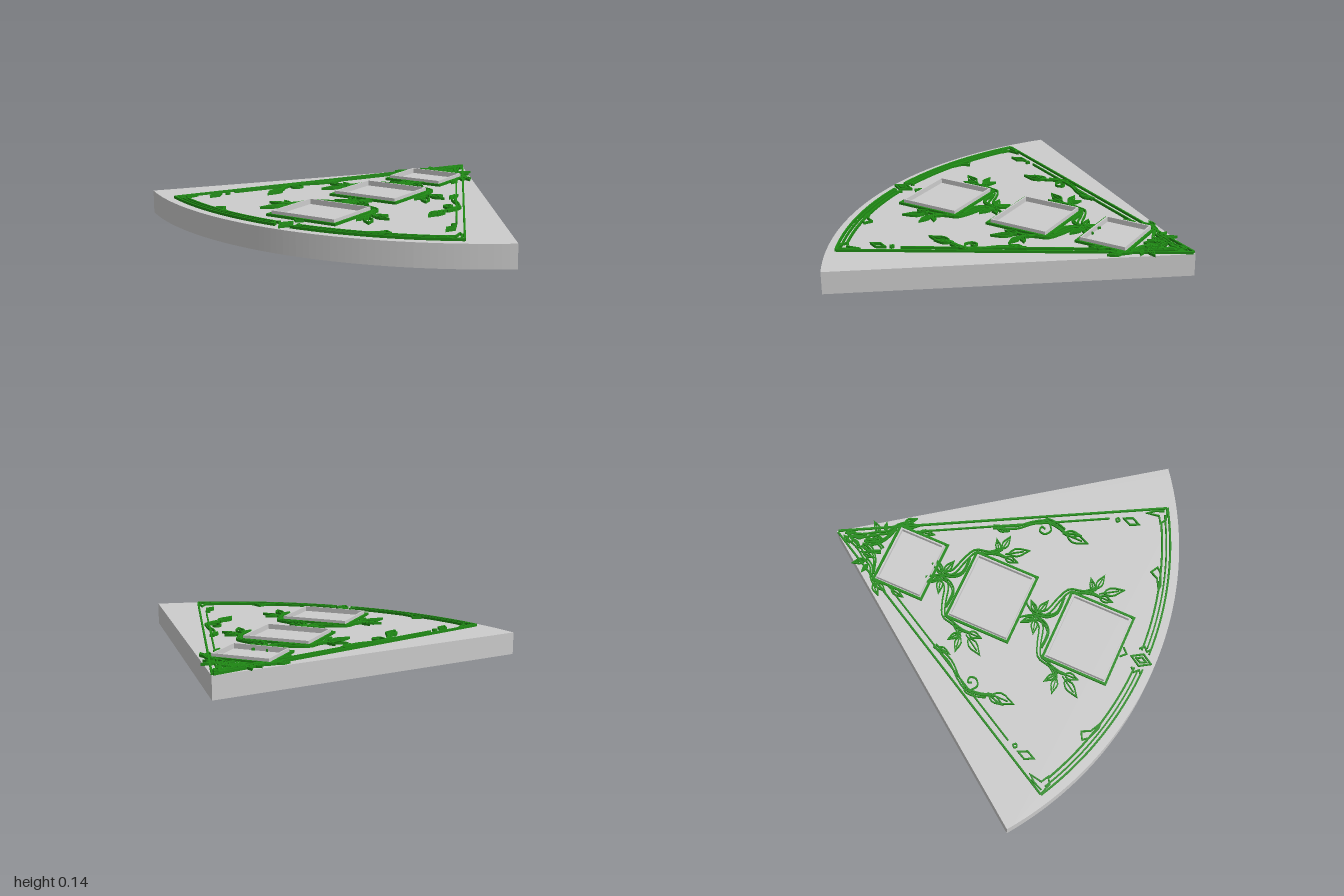
import * as THREE from 'three';
import { mergeGeometries } from 'three/addons/utils/BufferGeometryUtils.js';

const TOP = 0.11;         // upper face of the slab
const APEX = -0.85;       // z of the wedge point
const RADIUS = 1.7;
const HALF = Math.atan2(1, 1.375);

const grey = new THREE.MeshStandardMaterial({ color: 0xcccccc, side: THREE.DoubleSide });
const green = new THREE.MeshStandardMaterial({ color: 0x1f8a14, side: THREE.DoubleSide });

const V = (x, z) => new THREE.Vector2(x, z);
const toPoints = (list) => list.map(([x, z]) => V(x, z));
const mirror = (pts) => pts.map((p) => V(-p.x, p.y));
const smooth = (list, n = 20) => new THREE.SplineCurve(toPoints(list)).getPoints(n);
const polar = (r, a) => V(r * Math.sin(a), APEX + r * Math.cos(a));
const arc = (r, a0, a1, n = 24) =>
  Array.from({ length: n + 1 }, (_, i) => polar(r, a0 + ((a1 - a0) * i) / n));

// Mitred normals of a path in plan
function normals(pts, closed) {
  const n = pts.length;
  return pts.map((p, i) => {
    const prev = closed ? pts[(i + n - 1) % n] : pts[Math.max(i - 1, 0)];
    const next = closed ? pts[(i + 1) % n] : pts[Math.min(i + 1, n - 1)];
    const a = p.clone().sub(prev).normalize();
    const b = next.clone().sub(p).normalize();
    const d = a.clone().add(b).normalize();
    const cos = Math.max(0.4, d.dot(b.lengthSq() ? b : a));
    return V(-d.y, d.x).divideScalar(cos);
  });
}

// Thin raised strip with a rectangular section swept along a path
function ribbon(pts, { closed = false, width = 0.007, top = 0.122 } = {}) {
  const nrm = normals(pts, closed);
  const pos = [], index = [];
  pts.forEach((p, i) => {
    for (const [s, y] of [[1, TOP], [1, top], [-1, top], [-1, TOP]]) {
      pos.push(p.x + (s * nrm[i].x * width) / 2, y, p.y + (s * nrm[i].y * width) / 2);
    }
  });
  const count = closed ? pts.length : pts.length - 1;
  for (let i = 0; i < count; i++) {
    const a = i * 4, b = ((i + 1) % pts.length) * 4;
    for (let k = 0; k < 3; k++) {
      index.push(a + k, b + k, a + k + 1, b + k, b + k + 1, a + k + 1);
    }
  }
  if (!closed) {
    const e = (pts.length - 1) * 4;
    index.push(0, 1, 2, 0, 2, 3, e, e + 2, e + 1, e, e + 3, e + 2);
  }
  const g = new THREE.BufferGeometry();
  g.setAttribute('position', new THREE.Float32BufferAttribute(pos, 3));
  g.setIndex(index);
  const flat = g.toNonIndexed();
  flat.computeVertexNormals();
  return flat;
}

// A path record: points plus ribbon options
const line = (pts, opt = {}) => ({ pts, opt });

// Stem drawn as two parallel edges that taper to the tip
function stem(list, w = 0.018) {
  const pts = smooth(list), nrm = normals(pts, false);
  return [1, -1].map((s) => line(pts.map((p, i) =>
    p.clone().addScaledVector(nrm[i], (s * w * (1 - (0.7 * i) / pts.length)) / 2))));
}

// Pointed leaf outline with a midrib, from base to tip
function leaf(x0, z0, x1, z1, w = 0.4) {
  const a = V(x0, z0), d = V(x1 - x0, z1 - z0), n = V(-d.y, d.x);
  const at = (t, s) => a.clone().addScaledVector(d, t).addScaledVector(n, s * w);
  const prof = [[0, 0], [0.15, 0.3], [0.35, 0.5], [0.55, 0.45], [0.8, 0.2], [1, 0]];
  const outline = [...prof.map(([t, s]) => at(t, s)),
    ...prof.slice(1, -1).reverse().map(([t, s]) => at(t, -s))];
  return [line(outline, { closed: true, width: 0.006 }),
    line([at(-0.2, 0), at(0.75, 0)], { width: 0.005 })];
}

const diamond = (x, z, w, h) =>
  line(toPoints([[x, z - h], [x + w, z], [x, z + h], [x - w, z]]), { closed: true });

const rect = (w, z0, z1) => toPoints([[-w, z0], [w, z0], [w, z1], [-w, z1]]);

export function createModel() {
  const group = new THREE.Group();
  const add = (name, geometry, material) => {
    const mesh = new THREE.Mesh(geometry, material);
    mesh.name = name;
    group.add(mesh);
  };
  const ornament = (name, paths, mirrored = true) => {
    const parts = paths.flat().flatMap(({ pts, opt }) =>
      (mirrored ? [pts, mirror(pts)] : [pts]).map((p) => ribbon(p, opt)));
    add(name, mergeGeometries(parts), green);
  };

  // Wedge slab
  const shape = new THREE.Shape();
  shape.moveTo(0, -APEX);
  arc(RADIUS, -HALF, HALF, 64).forEach((p) => shape.lineTo(p.x, -p.y));
  shape.closePath();
  const slab = new THREE.ExtrudeGeometry(shape, { depth: TOP, bevelEnabled: false });
  slab.rotateX(-Math.PI / 2);
  add('wedgeSlab', slab, grey);

  // Three raised grey rims, each inside a green outline
  [[0.143, -0.56, -0.325], [0.17, -0.155, 0.147], [0.17, 0.355, 0.657]].forEach(([w, z0, z1], i) => {
    add(`panelRim${i + 1}`,
      ribbon(rect(w - 0.004, z0 + 0.004, z1 - 0.004), { closed: true, width: 0.008, top: 0.135 }), grey);
    ornament(`panelOutline${i + 1}`,
      [line(rect(w + 0.012, z0 - 0.012, z1 + 0.012), { closed: true, width: 0.011 })], false);
  });

  // Border lines along the straight sides and the arc
  ornament('sideBorder', [
    line(toPoints([[0.004, -0.84], [0.79, 0.6]]), { width: 0.009 }),
    line(toPoints([[0.17, -0.465], [0.62, 0.36]])),
  ]);
  ornament('arcBorder', [
    line(arc(1.655, 0.025, 0.499), { width: 0.009 }),
    line(arc(1.636, 0.04, 0.475)),
    line(arc(1.615, 0.03, 0.455), { width: 0.009 }),
  ]);

  // Pointed brackets and small marks in the outer corners
  ornament('cornerBracket', [
    line(toPoints([[0.79, 0.6], [0.73, 0.62], [0.7, 0.6], [0.735, 0.58], [0.725, 0.52], [0.75, 0.55]])),
    line(toPoints([[0.77, 0.595], [0.745, 0.535]])),
    diamond(0.65, 0.465, 0.02, 0.04),
    line(smooth([[0.63, 0.39], [0.64, 0.4], [0.63, 0.41], [0.62, 0.4], [0.63, 0.39]], 10)),
  ]);

  // Leaves folded over the arc border
  ornament('arcLeaf', [
    line(toPoints([[0.36, 0.725], [0.42, 0.695], [0.44, 0.655], [0.475, 0.675], [0.455, 0.7], [0.39, 0.725]]),
      { closed: true }),
    line(toPoints([[0.05, 0.75], [0.07, 0.77], [0.05, 0.79], [0.07, 0.805]])),
  ]);
  ornament('centreDiamond', [diamond(0, 0.78, 0.032, 0.05), diamond(0, 0.78, 0.014, 0.025),
    line(toPoints([[-0.025, 0.68], [0, 0.705], [0.025, 0.68]]))], false);

  // Vines climbing over the shoulders of the two larger panels
  [[-0.17, 'middle'], [0.335, 'outer']].forEach(([z, name]) => {
    ornament(`${name}PanelVine`, [
      stem([[0.05, z - 0.165], [0.015, z - 0.11], [0.04, z - 0.06], [0.12, z - 0.035], [0.185, z - 0.005],
        [0.205, z + 0.06], [0.25, z + 0.11]], 0.026),
      stem([[0.01, z - 0.1], [0.02, z - 0.05], [0.06, z - 0.015], [0.14, z - 0.015]], 0.014),
      stem([[0.2, z + 0.04], [0.215, z + 0.1], [0.215, z + 0.14]], 0.012),
      leaf(0.02, z - 0.1, 0.09, z - 0.08),
      leaf(0.015, z - 0.11, 0.06, z - 0.155),
      leaf(0.25, z + 0.11, 0.325, z + 0.12),
      leaf(0.235, z + 0.1, 0.285, z + 0.065),
      leaf(0.24, z + 0.15, 0.295, z + 0.235),
      leaf(0.215, z + 0.14, 0.215, z + 0.205, 0.5),
    ]);
  });

  // Curling vines beside the straight borders
  ornament('sideVine', [
    stem([[0.34, -0.15], [0.38, -0.05], [0.44, 0.02], [0.475, 0.08], [0.47, 0.15], [0.45, 0.2]], 0.016),
    line(smooth([[0.47, 0.1], [0.44, 0.12], [0.41, 0.1], [0.415, 0.07], [0.44, 0.07], [0.435, 0.09]])),
    line(smooth([[0.46, 0.06], [0.49, 0.08], [0.49, 0.13], [0.475, 0.18]])),
    leaf(0.45, 0.2, 0.45, 0.31, 0.45),
    leaf(0.46, 0.19, 0.475, 0.265),
    leaf(0.34, -0.13, 0.35, -0.07),
  ]);

  // Dense foliage at the wedge point
  ornament('apexVine', [
    stem([[0.0, -0.8], [0.03, -0.72], [0.07, -0.66], [0.1, -0.61], [0.15, -0.585], [0.19, -0.54]], 0.02),
    stem([[0.0, -0.7], [0.015, -0.65], [0.06, -0.61], [0.13, -0.585]], 0.016),
    stem([[0.01, -0.6], [0.03, -0.65], [0.02, -0.7]], 0.012),
    leaf(0.01, -0.76, 0.035, -0.7),
    leaf(0.01, -0.8, 0.03, -0.765),
    leaf(0.08, -0.65, 0.12, -0.7),
    leaf(0.1, -0.63, 0.14, -0.64),
    leaf(0.05, -0.68, 0.055, -0.625),
    leaf(0.18, -0.56, 0.22, -0.515),
    leaf(0.165, -0.55, 0.19, -0.49),
    leaf(0.165, -0.47, 0.18, -0.4),
  ]);

  return group;
}
